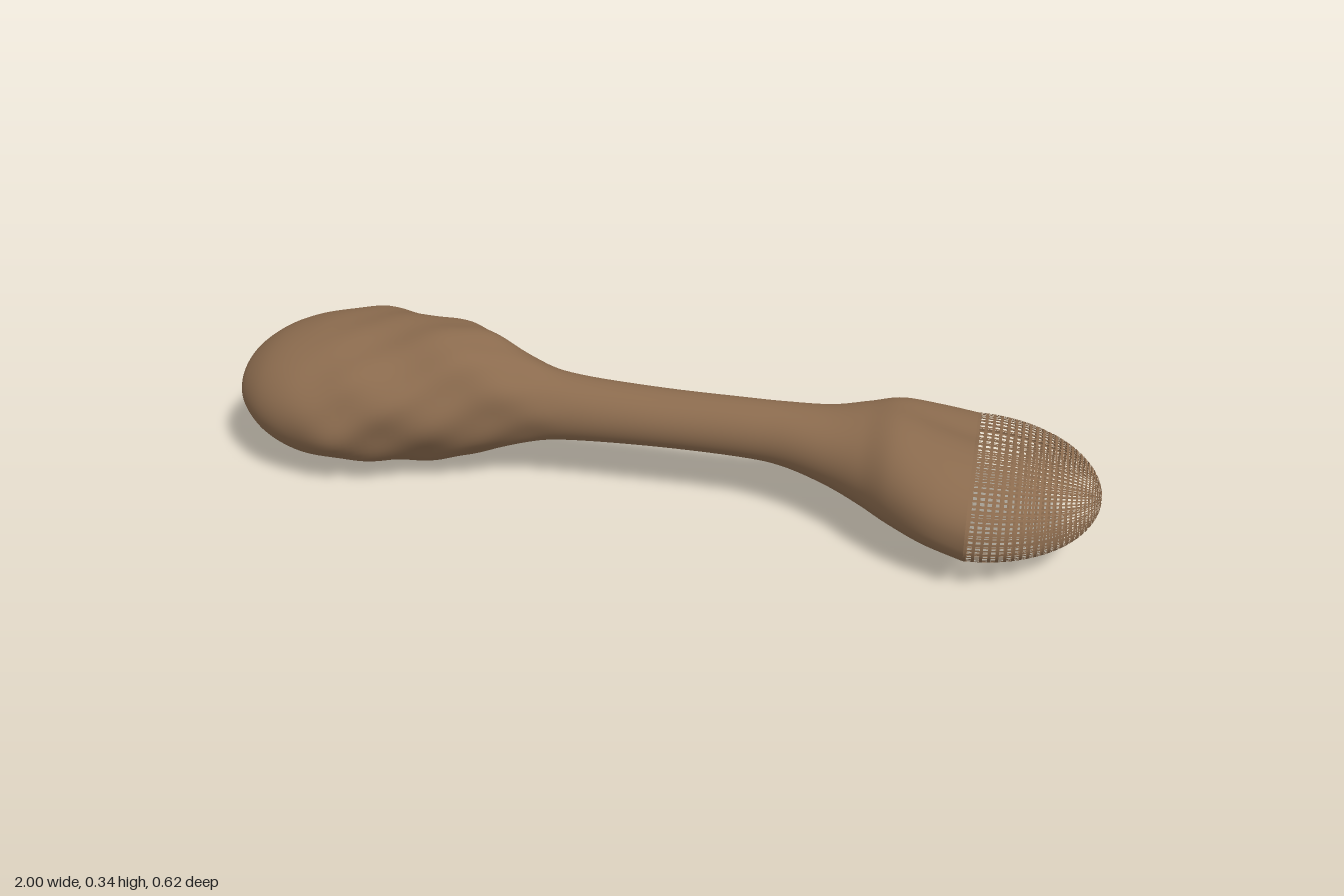
import * as THREE from 'three';
import { mergeVertices } from 'three/addons/utils/BufferGeometryUtils.js';

// Outline stations along the handle: [x, top, bottom, back, front]
const STATIONS = [
  [-1, 0.165, 0.165, -0.05, -0.05], [-0.99, 0.205, 0.122, -0.12, 0.015],
  [-0.96, 0.245, 0.085, -0.18, 0.075], [-0.9, 0.285, 0.045, -0.24, 0.135],
  [-0.82, 0.31, 0.016, -0.288, 0.172], [-0.72, 0.322, 0.004, -0.314, 0.184],
  [-0.6, 0.33, 0.016, -0.28, 0.165], [-0.48, 0.344, 0.028, -0.208, 0.135],
  [-0.4, 0.334, 0.05, -0.155, 0.105], [-0.3, 0.294, 0.09, -0.11, 0.08],
  [-0.2, 0.265, 0.11, -0.085, 0.07], [0, 0.252, 0.118, -0.075, 0.066],
  [0.2, 0.25, 0.115, -0.07, 0.066], [0.3, 0.249, 0.105, -0.076, 0.075],
  [0.4, 0.25, 0.08, -0.1, 0.11], [0.48, 0.26, 0.055, -0.14, 0.16],
  [0.55, 0.274, 0.038, -0.17, 0.222], [0.63, 0.262, 0.025, -0.192, 0.275],
  [0.72, 0.245, 0.016, -0.2, 0.31],
];
const heights = new THREE.CatmullRomCurve3(STATIONS.map((s) => new THREE.Vector3(s[0], s[1], s[2])), false, 'catmullrom');
const widths = new THREE.CatmullRomCurve3(STATIONS.map((s) => new THREE.Vector3(s[0], s[3], s[4])), false, 'catmullrom');
const CAP_X = 0.72, CAP_Y = 0.13, CAP_Z = 0.055;

// Point on the handle skin: u runs along it, a is the angle around it
function skin(u, a) {
  const h = heights.getPoint(u), w = widths.getPoint(u);
  const c = Math.cos(a), s = Math.sin(a);
  const halfY = (h.y - h.z) / 2, halfZ = (w.z - w.y) / 2;
  const flare = THREE.MathUtils.smoothstep(h.x, 0.45, 0.72);
  let sy = Math.sign(s) * Math.pow(Math.abs(s), 1 - 0.15 * flare);
  // leaning outline and shallow groove at the flared end
  sy += flare * 0.16 * s * s * c;
  if (s > 0) sy -= flare * 0.16 * s * Math.exp(-(((c + 0.25) / 0.3) ** 2));
  // gentle hand-carved lumps on the large end
  const lump = THREE.MathUtils.smoothstep(h.x, -0.85, -0.65) * (1 - THREE.MathUtils.smoothstep(h.x, -0.4, -0.15));
  const r = 1 + 0.022 * lump * (Math.sin(5 * a + h.x * 22) + Math.sin(8 * a - h.x * 31) * 0.6);
  return [h.x, (h.y + h.z) / 2 + halfY * sy * r, (w.y + w.z) / 2 + halfZ * c * r];
}

// Point on the rounded strainer end
function dome(phi, a) {
  const [, y, z] = skin(1, a);
  const k = Math.cos(phi);
  return [CAP_X + 0.28 * Math.sin(phi), CAP_Y + (y - CAP_Y) * k, CAP_Z + (z - CAP_Z) * k];
}

// Grid surface closed around the angle; skip(i, j) leaves holes
function gridGeometry(us, angles, point, skip = () => false) {
  const pos = [], index = [], n = angles.length;
  for (const u of us) for (const a of angles) pos.push(...point(u, a));
  for (let i = 0; i < us.length - 1; i++) {
    for (let j = 0; j < n; j++) {
      if (skip(i, j)) continue;
      const k = (j + 1) % n;
      const p = i * n + j, q = p + n, r = (i + 1) * n + k, t = i * n + k;
      index.push(p, q, r, p, r, t);
    }
  }
  let geo = new THREE.BufferGeometry();
  geo.setAttribute('position', new THREE.Float32BufferAttribute(pos, 3));
  geo.setIndex(index);
  geo = mergeVertices(geo, 1e-5);
  geo.computeVertexNormals();
  return geo;
}

// Alternating wire and hole divisions from 0 to end
function wireSteps(count, end, wire) {
  const steps = [];
  for (let i = 0; i < count; i++) steps.push((i / count) * end, ((i + wire) / count) * end);
  return steps;
}

export function createModel() {
  const brown = new THREE.MeshStandardMaterial({ color: 0x8b6b4e, side: THREE.DoubleSide });
  brown.name = 'warm brown';
  const group = new THREE.Group();
  group.name = 'strainerBone';

  // solid handle with its large rounded end
  const us = Array.from({ length: 145 }, (_, i) => i / 144);
  const angles = Array.from({ length: 72 }, (_, j) => (j / 72) * Math.PI * 2);
  const handle = new THREE.Mesh(gridGeometry(us, angles, skin), brown);
  handle.name = 'handle';

  // open wire lattice
  const phis = [...wireSteps(26, Math.PI / 2, 0.38), Math.PI / 2];
  const turns = wireSteps(80, Math.PI * 2, 0.38);
  const lattice = new THREE.Mesh(
    gridGeometry(phis, turns, dome, (i, j) => i % 2 === 1 && j % 2 === 1), brown);
  lattice.name = 'latticeEnd';

  group.add(handle, lattice);
  return group;
}
